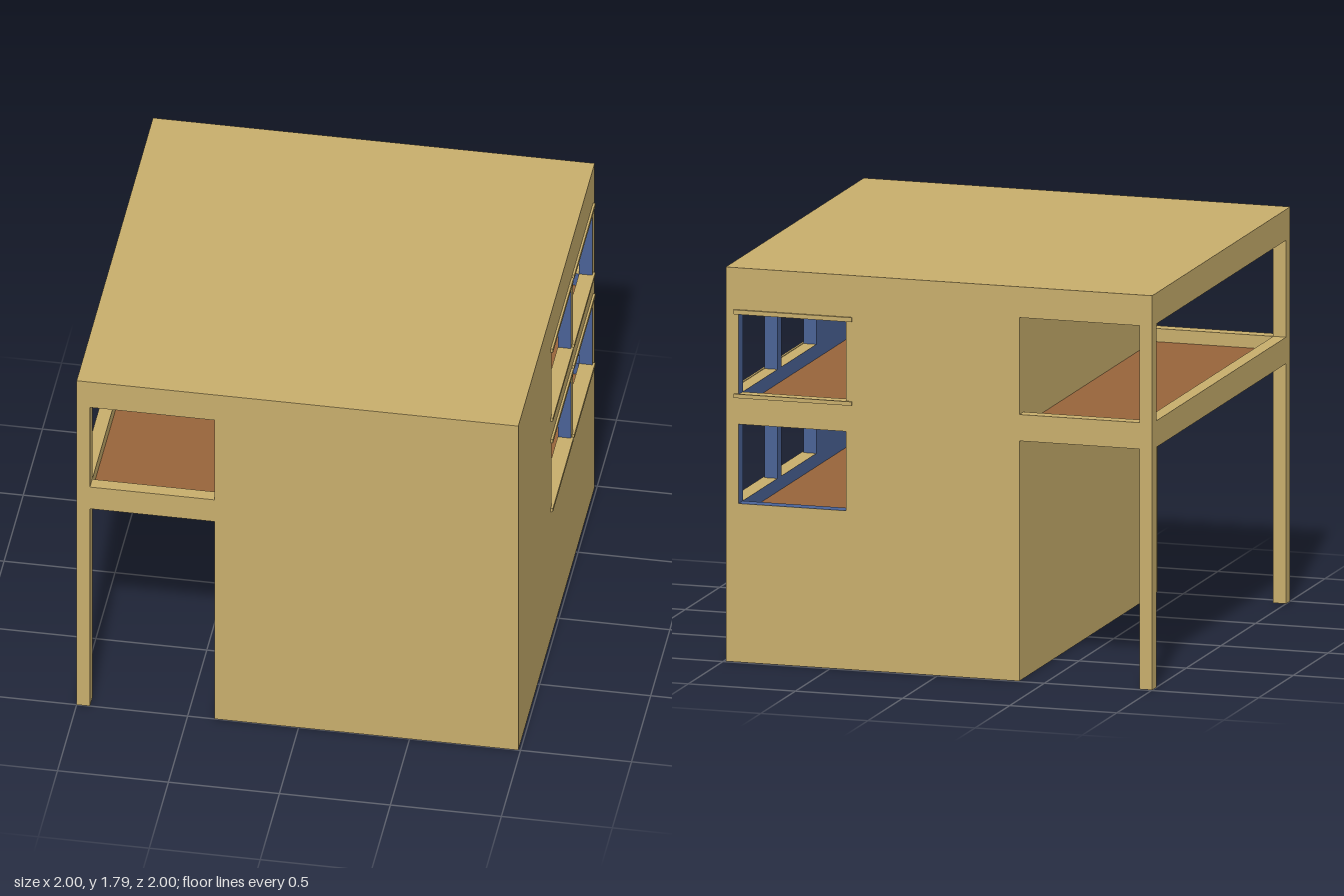
import * as THREE from 'three';

export function createModel() {
  const model = new THREE.Group();
  model.name = 'terraceHouse';

  const material = (name, color) => {
    const m = new THREE.MeshStandardMaterial({ color });
    m.name = name;
    return m;
  };
  const sand = material('sandPlaster', 0xc8ae6c);
  const blue = material('bluePlaster', 0x4a6296);
  const clay = material('clayFloor', 0x97643a);

  // Box given by its ranges; paint overrides single faces of the sand plaster
  const faces = ['right', 'left', 'top', 'bottom', 'front', 'back'];
  function block(name, [x0, x1], [y0, y1], [z0, z1], paint = {}) {
    const geometry = new THREE.BoxGeometry(x1 - x0, y1 - y0, z1 - z0);
    const mesh = new THREE.Mesh(geometry, faces.map((f) => paint[f] ?? sand));
    mesh.position.set((x0 + x1) / 2, (y0 + y1) / 2, (z0 + z1) / 2);
    mesh.name = name;
    model.add(mesh);
  }

  // Outer limits, inner wall faces and storey heights
  const L = -1, R = 0.99, B = -0.99, F = 1;
  const iL = -0.94, iR = 0.93, iB = -0.93, iF = 0.94;
  const partition = -0.38, room = -0.32;
  const base = 0.66, slab = 1.09, floor = 1.15, rail = 1.21, ceiling = 1.65, top = 1.79;
  const storey = [base, ceiling];

  // Base, floors and roof
  block('base', [partition, R], [0, base], [B, F], { top: clay });
  block('upperRoomFloor', [room, iR], [slab, floor], [iB, iF], { top: clay, bottom: blue });
  block('terraceFloor', [iL, partition], [slab, floor], [iB, iF], { top: clay });
  block('roof', [L, R], [ceiling, top], [B, F]);

  // Closed walls
  block('frontWall', [partition, R], storey, [iF, F], { back: blue });
  block('partitionWall', [partition, room], storey, [iB, iF], { right: blue });

  // Terrace posts and parapets
  for (const z of [[iF, F], [B, iB]]) {
    block('terracePost', [L, iL], [0, ceiling], z);
    block('terraceEndParapet', [iL, partition], [slab, rail], z);
  }
  block('terraceSideParapet', [L, iL], [slab, rail], [iB, iF]);

  // Right and back walls: uprights around the windows
  const winFront = 0.13, winSide = 0.43;
  block('rightWall', [iR, R], storey, [winFront, iF], { left: blue, back: blue });
  block('windowMullion', [iR, R], storey, [-0.43, -0.375], { left: blue, front: blue, back: blue });
  block('backWall', [partition, winSide], storey, [B, iB], { front: blue });
  block('cornerPost', [iR, R], storey, [B, iB], { left: blue, front: blue });

  // Bands below, between and above the windows
  const bands = [[base, 0.72], [1.08, 1.215], [1.58, ceiling]];
  bands.forEach((y, i) => {
    for (const z of [[-0.375, winFront], [iB, -0.43]]) {
      block('rightWindowBand', [iR, R], y, z, { left: blue });
    }
    block('backWindowBand', [winSide, iR], y, [B, iB],
      { front: blue, top: i === 0 ? blue : sand });
  });

  // Thin projecting trims over and under the windows
  for (const y of [[0.70, 0.72], [1.08, 1.10], [1.20, 1.218], [1.58, 1.60]]) {
    for (const z of [[-0.385, 0.155], [-0.95, -0.405]]) {
      block('rightWindowTrim', [R, 1], y, z);
    }
  }
  for (const y of [[1.20, 1.218], [1.58, 1.60]]) {
    block('backWindowTrim', [0.40, 0.95], y, [-1, B]);
  }

  return model;
}
